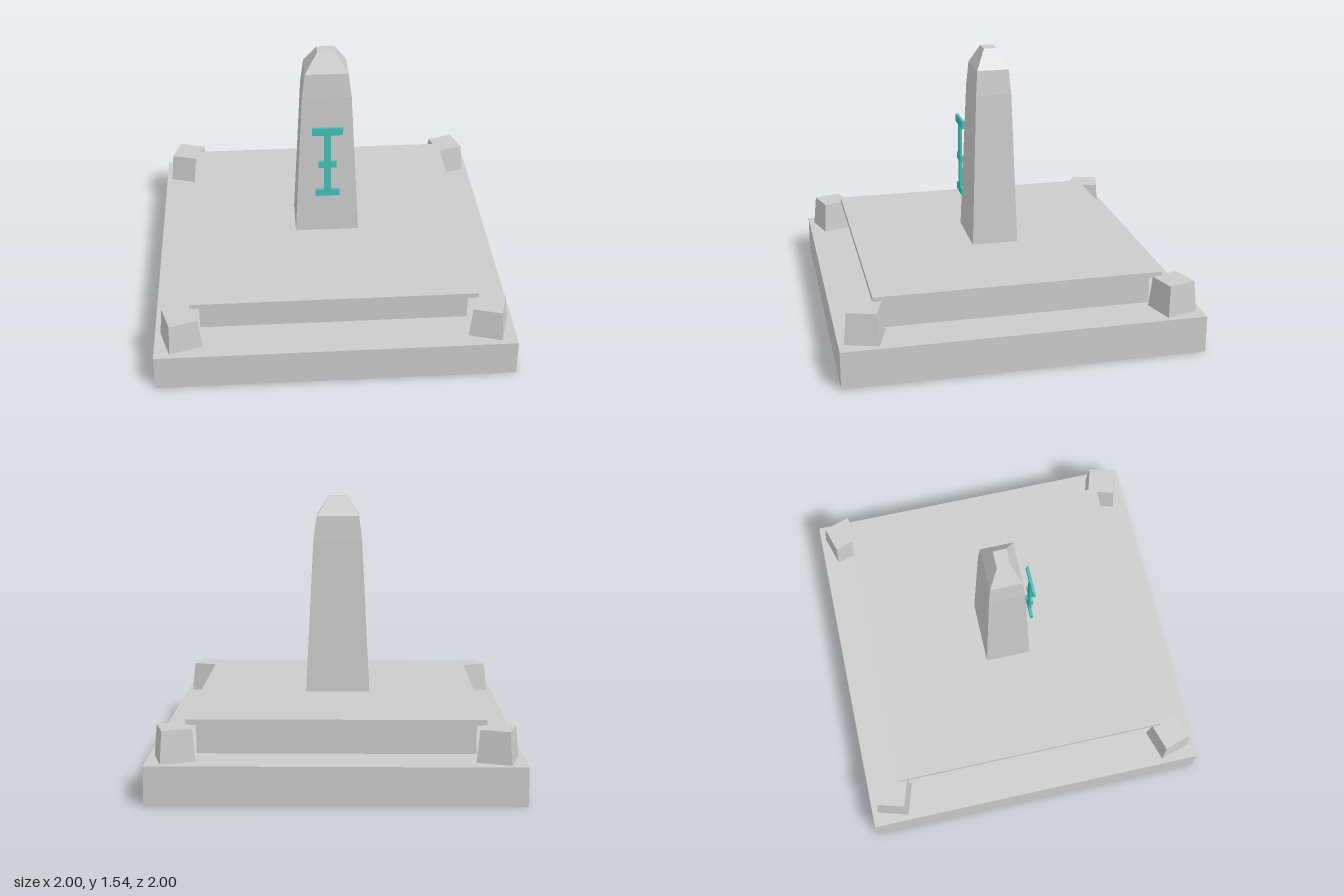
import * as THREE from 'three';

const stone = new THREE.MeshStandardMaterial({ color: 0xcccccc, flatShading: true });
const teal = new THREE.MeshStandardMaterial({ color: 0x45bfb6, flatShading: true });

function add(parent, name, geometry, material = stone) {
  const mesh = new THREE.Mesh(geometry, material);
  mesh.name = name;
  parent.add(mesh);
  return mesh;
}

// Box given by its width, depth and the heights of its bottom and top
function slab(width, depth, bottom, top) {
  return new THREE.BoxGeometry(width, top - bottom, depth).translate(0, (bottom + top) / 2, 0);
}

// Closed four-sided solid through rectangular sections [halfX, halfZ, y]
function rectangularLoft(sections) {
  const positions = [];
  const index = [];
  for (const [x, z, y] of sections) positions.push(-x, y, z, x, y, z, x, y, -z, -x, y, -z);
  for (let s = 0; s < sections.length - 1; s++) {
    for (let i = 0; i < 4; i++) {
      const a = s * 4 + i;
      const b = s * 4 + (i + 1) % 4;
      index.push(a, b, b + 4, a, b + 4, a + 4);
    }
  }
  const t = (sections.length - 1) * 4;
  index.push(0, 2, 1, 0, 3, 2, t, t + 1, t + 2, t, t + 2, t + 3);
  const geometry = new THREE.BufferGeometry();
  geometry.setAttribute('position', new THREE.Float32BufferAttribute(positions, 3));
  geometry.setIndex(index);
  const flat = geometry.toNonIndexed();
  flat.computeVertexNormals();
  return flat;
}

export function createModel() {
  const model = new THREE.Group();
  model.name = 'monument';

  // Stepped base with an overhanging top slab
  add(model, 'basePlinth', slab(2, 2, 0, 0.21));
  add(model, 'upperPlinth', slab(1.5, 1.5, 0.21, 0.38));
  add(model, 'plinthCap', slab(1.6, 1.6, 0.38, 0.41));

  // Tapered corner posts, turned in mirrored pairs
  const postGeometry = rectangularLoft([[0.094, 0.094, 0.21], [0.08, 0.08, 0.385]]);
  for (const sx of [-1, 1]) {
    for (const sz of [-1, 1]) {
      const post = add(model, 'cornerPost', postGeometry);
      post.position.set(sx * 0.852, 0, sz * 0.852);
      post.rotation.y = -sx * sz * THREE.MathUtils.degToRad(17);
    }
  }

  // Obelisk with a bevelled shoulder and a small flat tip
  add(model, 'obelisk', rectangularLoft([
    [0.185, 0.133, 0.41], [0.14, 0.102, 1.29], [0.122, 0.091, 1.43], [0.05, 0.037, 1.54],
  ]));

  // Barred ornament in front of the obelisk
  const ornament = new THREE.Group();
  ornament.name = 'frontOrnament';
  ornament.position.z = 0.168;
  model.add(ornament);
  const depth = 0.016;
  add(ornament, 'ornamentStem', slab(0.04, depth, 0.72, 1.085), teal);
  add(ornament, 'ornamentTopBar', slab(0.176, depth, 1.085, 1.13), teal);
  add(ornament, 'ornamentMiddleBar', slab(0.104, depth, 0.87, 0.91), teal);
  add(ornament, 'ornamentBottomBar', slab(0.138, depth, 0.68, 0.72), teal);

  return model;
}
